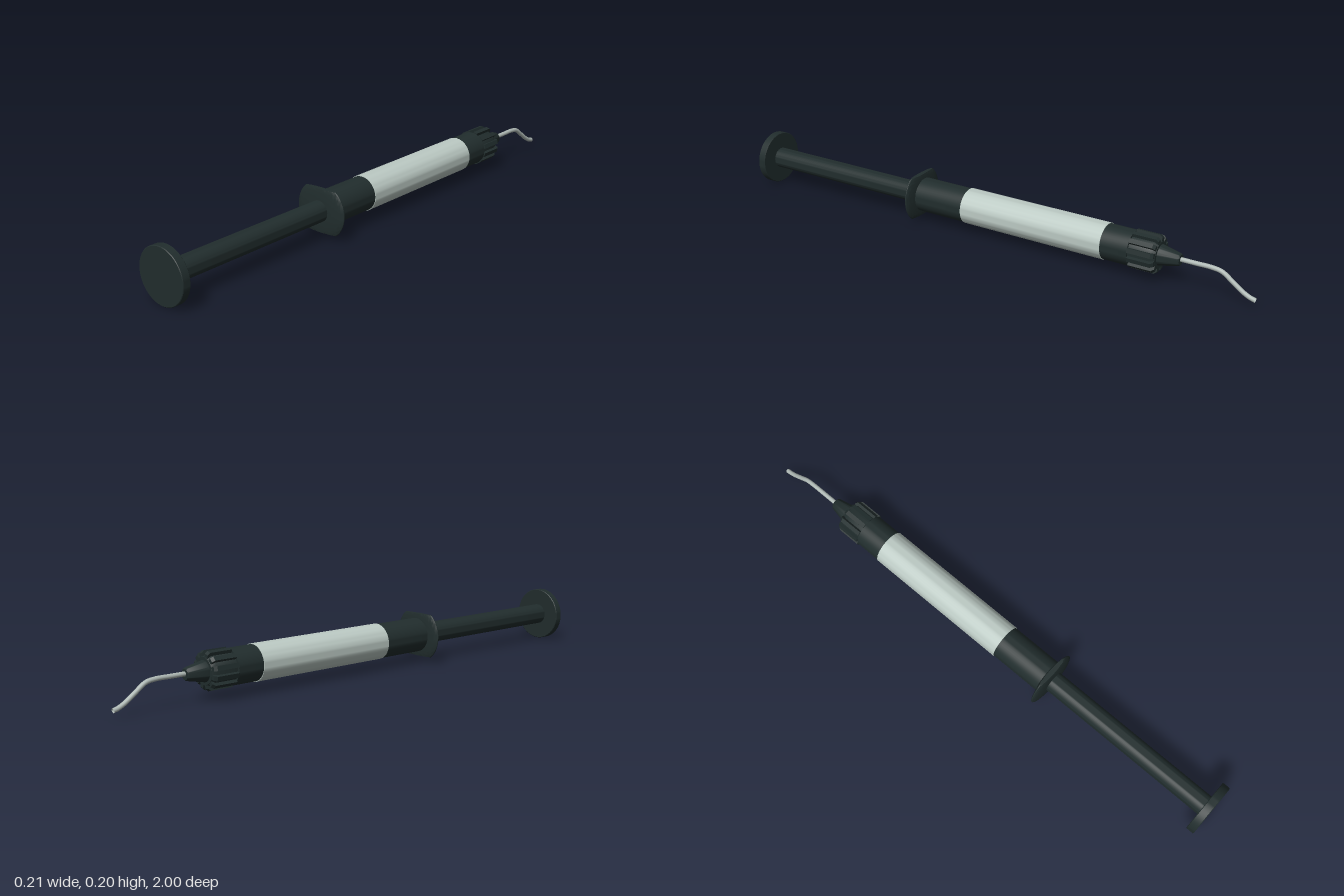
import * as THREE from 'three';
import { toCreasedNormals } from 'three/addons/utils/BufferGeometryUtils.js';

const AXIS_Y = 0.098; // height of the long axis

export function createModel() {
  const model = new THREE.Group();
  model.name = 'syringe';

  const material = (name, color) => {
    const m = new THREE.MeshStandardMaterial({ color });
    m.name = name;
    return m;
  };
  const dark = material('dark plastic', 0x212d2d);
  const pale = material('pale barrel', 0xbccac4);
  const metal = material('needle metal', 0xadb7b3);
  metal.side = THREE.DoubleSide;

  const body = new THREE.Group();
  body.name = 'body';
  body.position.y = AXIS_Y;
  model.add(body);

  const add = (name, geometry, mat, parent = body) => {
    const mesh = new THREE.Mesh(geometry, mat);
    mesh.name = name;
    parent.add(mesh);
    return mesh;
  };

  // Turned part along z; profile is [radius, z] with z increasing
  const turned = (name, profile, mat, segments = 48) => {
    const points = profile.map(([r, z]) => new THREE.Vector2(r, z));
    const geometry = new THREE.LatheGeometry(points, segments).rotateX(Math.PI / 2);
    return add(name, toCreasedNormals(geometry, 0.6), mat);
  };

  // Plunger
  turned('thumbDisc', [[0, 0.97], [0.096, 0.97], [0.098, 0.972], [0.098, 0.998], [0.096, 1], [0, 1]], dark, 64);
  turned('plungerRod', [[0, 0.27], [0.038, 0.27], [0.038, 0.975], [0, 0.975]], dark);

  // Lens-shaped finger flange with flattened top and bottom
  const flange = new THREE.SphereGeometry(1, 64, 32).rotateX(Math.PI / 2).scale(0.103, 0.103, 0.014);
  const p = flange.attributes.position;
  for (let i = 0; i < p.count; i++) p.setY(i, THREE.MathUtils.clamp(p.getY(i), -0.078, 0.078));
  flange.computeVertexNormals();
  add('fingerFlange', toCreasedNormals(flange, 0.7), dark).position.z = 0.294;

  // Barrel with its two dark sleeves
  turned('rearSleeve', [[0, 0.08], [0.062, 0.08], [0.062, 0.28], [0, 0.28]], dark);
  turned('barrel', [[0, -0.47], [0.064, -0.47], [0.064, 0.085], [0, 0.085]], pale);
  turned('frontSleeve', [[0, -0.57], [0.062, -0.57], [0.062, -0.465], [0, -0.465]], dark);

  // Ribbed cap and nose
  turned('capCore', [[0, -0.665], [0.046, -0.665], [0.055, -0.65], [0.055, -0.56], [0, -0.56]], dark);
  const ribShape = new THREE.Shape();
  [[-0.57, 0.045], [-0.57, 0.066], [-0.655, 0.066], [-0.664, 0.058], [-0.664, 0.04]].forEach(
    ([z, r], i) => (i ? ribShape.lineTo(z, r) : ribShape.moveTo(z, r)));
  const ribGeometry = new THREE.ExtrudeGeometry(ribShape, { depth: 0.016, bevelEnabled: false })
    .translate(0, 0, -0.008).rotateY(-Math.PI / 2);
  const ribs = new THREE.Group();
  ribs.name = 'capRibs';
  body.add(ribs);
  for (let i = 0; i < 12; i++) add('capRib', ribGeometry, dark, ribs).rotation.z = ((i + 0.5) / 12) * Math.PI * 2;
  turned('noseCone', [[0, -0.737], [0.018, -0.737], [0.022, -0.732], [0.037, -0.66], [0.037, -0.65]], dark);

  // Bent needle
  const path = new THREE.CatmullRomCurve3(
    [[0.002, -0.72], [0.002, -0.79], [0.002, -0.845], [-0.004, -0.88], [-0.03, -0.918], [-0.057, -0.956], [-0.069, -0.98], [-0.074, -0.998]]
      .map(([y, z]) => new THREE.Vector3(0, y, z)));
  add('needle', new THREE.TubeGeometry(path, 60, 0.008, 16, false), metal);

  return model;
}
